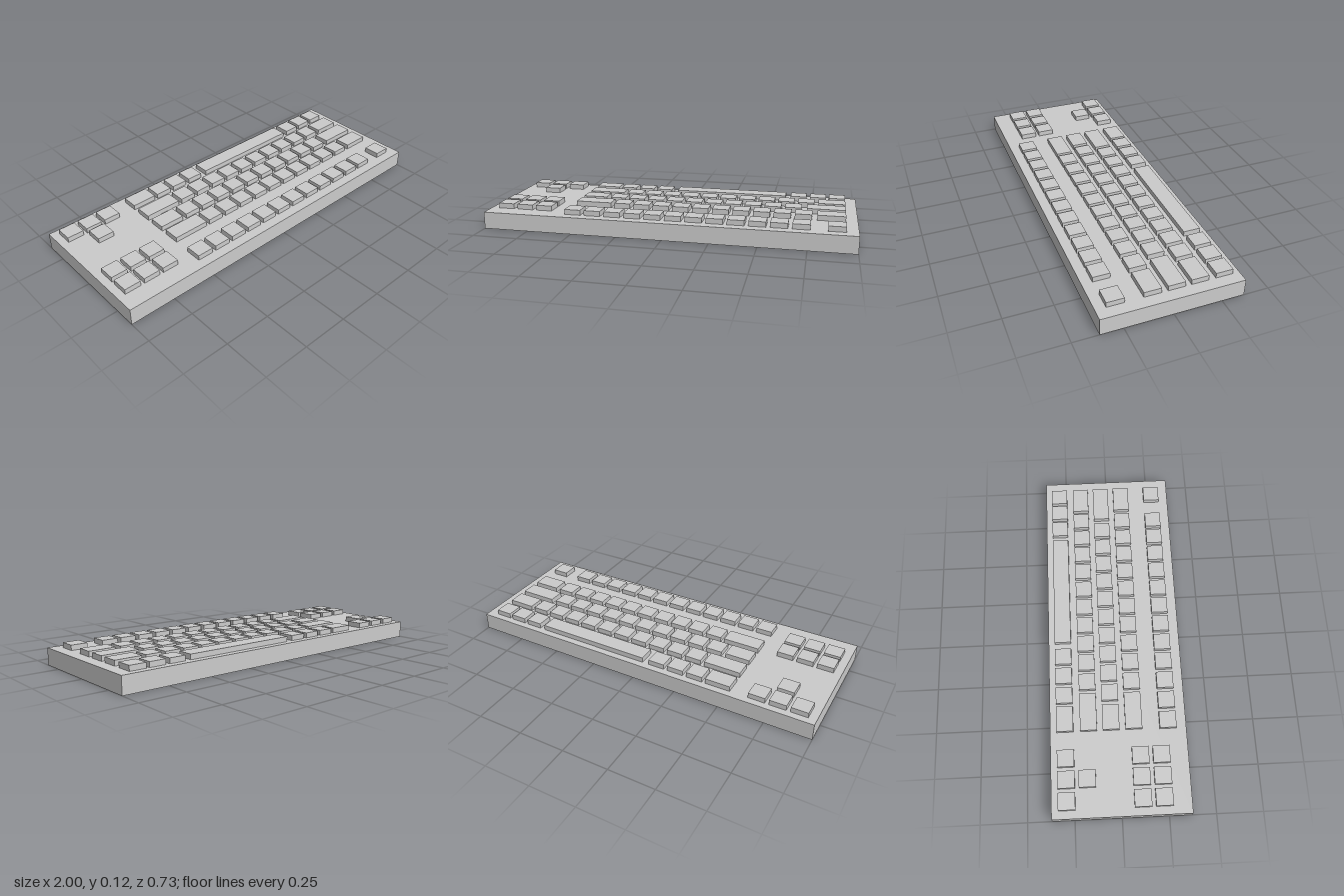
import * as THREE from 'three';

const BODY_TOP = 0.093, KEY_TOP = 0.121, KEY = 0.09, PITCH = 0.111;

// [left x, width, count] runs of keys; repeated keys step by PITCH
const rows = [
  { name: 'spaceRow', z: -0.286, runs: [[-0.547, 0.137, 1], [-0.392, KEY, 3], [-0.043, 0.643, 1], [0.63, KEY, 2], [0.848, KEY, 1]] },
  { name: 'lowerRow', z: -0.159, runs: [[-0.547, 0.205, 1], [-0.321, KEY, 10], [0.79, 0.148, 1]] },
  { name: 'middleRow', z: -0.038, runs: [[-0.547, 0.137, 1], [-0.386, KEY, 10], [0.732, 0.206, 1]] },
  { name: 'upperRow', z: 0.084, runs: [[-0.547, 0.201, 1], [-0.326, KEY, 10], [0.79, 0.148, 1]] },
  { name: 'functionRow', z: 0.268, runs: [[-0.551, KEY, 12], [0.848, KEY, 1]] },
  { name: 'arrowRow', z: -0.286, runs: [[-0.957, KEY, 3]] },
  { name: 'upArrowRow', z: -0.175, runs: [[-0.845, KEY, 1]] },
  { name: 'navigationRowA', z: 0.111, runs: [[-0.957, KEY, 3]] },
  { name: 'navigationRowB', z: 0.222, runs: [[-0.957, KEY, 3]] },
];

export function createModel() {
  const model = new THREE.Group();
  model.name = 'keyboard';
  const material = new THREE.MeshStandardMaterial({ color: 0xcccccc });

  function box(parent, name, w, h, d, x, y, z) {
    const mesh = new THREE.Mesh(new THREE.BoxGeometry(w, h, d), material);
    mesh.name = name;
    mesh.position.set(x, y, z);
    parent.add(mesh);
  }

  // Case slab
  box(model, 'case', 2, BODY_TOP, 0.734, 0, BODY_TOP / 2, 0);

  // Keycaps
  const h = KEY_TOP - BODY_TOP;
  for (const { name, z, runs } of rows) {
    const row = new THREE.Group();
    row.name = name;
    for (const [x, w, count] of runs) {
      for (let i = 0; i < count; i++) {
        box(row, w > 0.5 ? 'spaceBar' : 'key', w, h, KEY, x + w / 2 + i * PITCH, BODY_TOP + h / 2, z);
      }
    }
    model.add(row);
  }
  return model;
}
